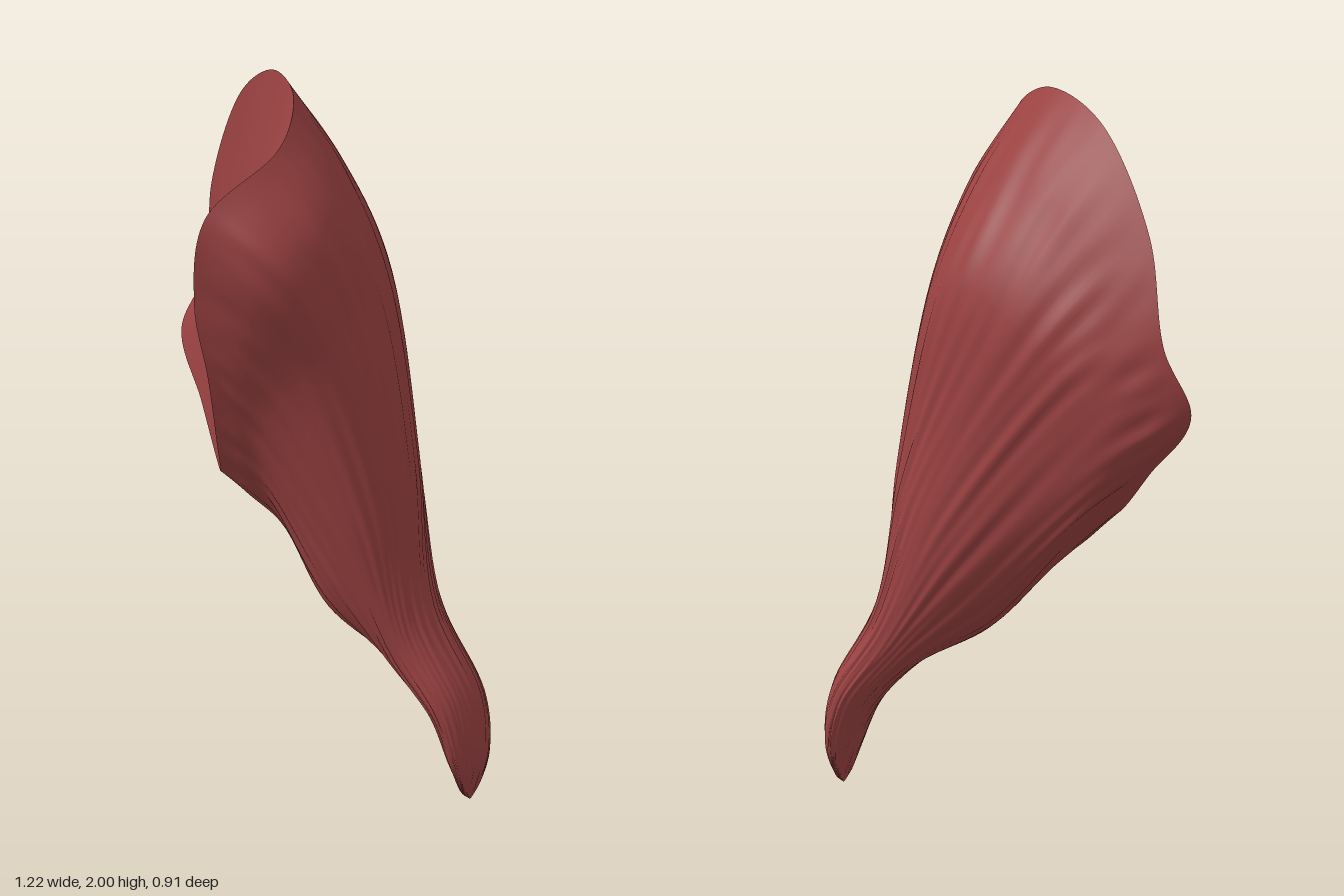
import * as THREE from 'three';

const V = (x, y, z) => new THREE.Vector3(x, y, z);
const COLS = 182, N = 13;

// Sharp rim around the hollow inner face
const rim = [
  V(-0.61, 1.17, -0.385), V(-0.55, 1.34, -0.425), V(-0.485, 1.62, -0.37), V(-0.30, 1.90, -0.25),
  V(-0.07, 2.00, -0.09), V(0.10, 1.95, 0.06), V(0.19, 1.83, 0.27), V(0.09, 1.67, 0.45),
  V(0.015, 1.43, 0.40), V(-0.015, 1.21, 0.30), V(-0.13, 0.97, 0.10), V(-0.25, 0.84, -0.08),
  V(-0.44, 0.99, -0.25),
];
// Thickest part of the belly
const belly = [
  V(-0.38, 1.02, -0.42), V(-0.32, 1.20, -0.45), V(-0.20, 1.32, -0.45), V(-0.05, 1.43, -0.42),
  V(0.13, 1.48, -0.34), V(0.27, 1.46, -0.15), V(0.37, 1.34, 0.085), V(0.35, 1.28, 0.24),
  V(0.22, 1.17, 0.26), V(0.10, 1.03, 0.20), V(0.00, 0.84, 0.04), V(-0.10, 0.69, -0.18),
  V(-0.26, 0.84, -0.33),
];
// Where the belly narrows
const taper = [
  V(0.05, 0.66, -0.31), V(0.10, 0.78, -0.35), V(0.18, 0.87, -0.34), V(0.27, 0.92, -0.29),
  V(0.34, 0.95, -0.21), V(0.395, 0.95, -0.115), V(0.42, 0.92, 0.00), V(0.41, 0.89, 0.10),
  V(0.34, 0.80, 0.135), V(0.27, 0.70, 0.10), V(0.20, 0.57, 0.03), V(0.12, 0.495, -0.10),
  V(0.05, 0.56, -0.23),
];

const angle = (i, top) => (2 * Math.PI * (i - top)) / N;

// Elliptical tendon section: centre and its two half axes
const ellipse = (c, u, w) => rim.map((_, i) => c.clone()
  .addScaledVector(u, Math.cos(angle(i, 4.5)))
  .addScaledVector(w, Math.sin(angle(i, 4.5))));

// Swelling of the outer side and the front corner just behind the rim
const swell = (i, top) => Math.max(0, Math.cos(angle(i, top)));
const shoulder = rim.map((p, i) => p.clone().lerp(belly[i], 0.45)
  .addScaledVector(V(0.6, 0.35, -0.65), 0.025 * swell(i, 4.5))
  .addScaledVector(V(0.9, 0.6, 0.75), 0.055 * swell(i, 6.8) ** 4));

const sections = [
  rim, shoulder, belly, taper,
  ellipse(V(0.40, 0.46, -0.11), V(0.06, 0.09, 0), V(0.025, 0, 0.14)),
  ellipse(V(0.53, 0.27, -0.125), V(0.06, 0.03, 0), V(0.01, 0, 0.125)),
  ellipse(V(0.573, 0.12, -0.125), V(0.036, 0.012, 0), V(0, 0, 0.09)),
  ellipse(V(0.577, 0.03, -0.125), V(0.010, 0.002, 0), V(0, 0, 0.045)),
  ellipse(V(0.577, 0.0, -0.125), V(0.001, 0, 0), V(0, 0, 0.004)),
];

// Closed smooth loop through a section
function loop(points) {
  const curve = new THREE.CatmullRomCurve3(points, true, 'centripetal');
  return Array.from({ length: COLS }, (_, i) => curve.getPoint(i / COLS));
}

// Surface through rows of points, closed around each row
function skin(rows, flip) {
  const pos = rows.flat().flatMap((p) => [p.x, p.y, p.z]);
  const index = [];
  for (let r = 0; r < rows.length - 1; r++) {
    for (let i = 0; i < COLS; i++) {
      const a = r * COLS + i, b = r * COLS + ((i + 1) % COLS);
      const c = a + COLS, d = b + COLS;
      if (flip) index.push(a, c, b, b, c, d);
      else index.push(a, b, c, b, d, c);
    }
  }
  const g = new THREE.BufferGeometry();
  g.setAttribute('position', new THREE.Float32BufferAttribute(pos, 3));
  g.setIndex(index);
  g.computeVertexNormals();
  return g;
}

// Shallow grooves that follow the fibres from rim to tendon
function addFibres(g, rowCount) {
  const p = g.attributes.position, n = g.attributes.normal;
  for (let k = 0; k < p.count; k++) {
    const t = Math.floor(k / COLS) / (rowCount - 1);
    const a = (2 * Math.PI * (k % COLS)) / COLS;
    const wave = Math.sin(23 * a + 6 * t) * Math.sin(2 * a + 11 * t)
      + 0.8 * Math.sin(37 * a - 7 * t + 1) * Math.sin(3 * a + 9 * t);
    const h = 0.003 * wave * Math.min(1, t * 8) * Math.min(1, (1 - t) * 1.5);
    p.setXYZ(k, p.getX(k) + n.getX(k) * h, p.getY(k) + n.getY(k) * h, p.getZ(k) + n.getZ(k) * h);
  }
  g.computeVertexNormals();
}

export function createModel() {
  const model = new THREE.Group();
  model.name = 'fanShapedMuscle';
  const material = new THREE.MeshStandardMaterial({ color: 0x9c4242 });

  // Outer belly and tendon
  const loops = sections.map(loop);
  const rowCount = 81;
  const fibres = loops[0].map((_, i) =>
    new THREE.CatmullRomCurve3(loops.map((l) => l[i]), false, 'centripetal'));
  const rows = Array.from({ length: rowCount }, (_, r) =>
    fibres.map((f) => f.getPoint(r / (rowCount - 1))));
  const body = skin(rows, false);
  addFibres(body, rowCount);
  const bodyMesh = new THREE.Mesh(body, material);
  bodyMesh.name = 'bellyAndTendon';
  model.add(bodyMesh);

  // Smooth hollow inner face: the rim's warp fades towards a sunken middle
  const edge = loops[0];
  const centre = rim.reduce((s, p) => s.add(p), V(0, 0, 0)).divideScalar(N);
  const inward = edge.reduce((s, p, i) => s.add(p.clone().sub(centre)
    .cross(edge[(i + 1) % COLS].clone().sub(centre))), V(0, 0, 0)).normalize();
  const faceRows = Array.from({ length: 21 }, (_, r) => {
    const s = 1 - r / 20;
    return edge.map((p) => {
      const arm = p.clone().sub(centre);
      const warp = arm.dot(inward);
      return centre.clone().addScaledVector(arm, s)
        .addScaledVector(inward, warp * (s * s - s) + 0.05 * (1 - s * s));
    });
  });
  const faceMesh = new THREE.Mesh(skin(faceRows, true), material);
  faceMesh.name = 'innerFace';
  model.add(faceMesh);

  return model;
}
